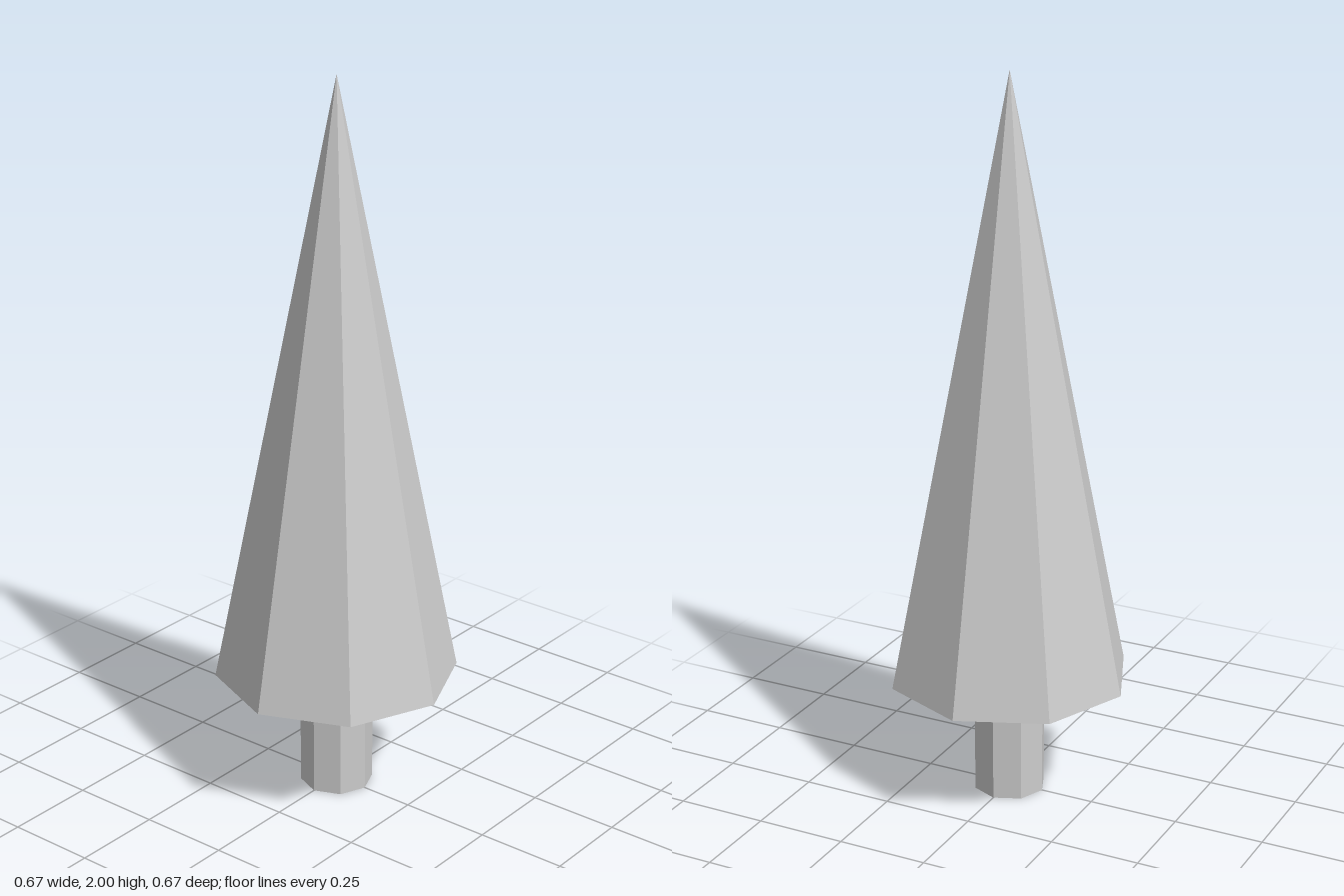
import * as THREE from 'three';

const SIDES = 8;

// Open-ended, flat-shaded octagonal shell standing between two heights
function shell(name, topRadius, bottomRadius, bottom, top) {
  const geometry = new THREE.CylinderGeometry(topRadius, bottomRadius, top - bottom, SIDES, 1, true);
  geometry.translate(0, (bottom + top) / 2, 0);
  const material = new THREE.MeshStandardMaterial({
    color: 0xcccccc, flatShading: true, side: THREE.DoubleSide,
  });
  const mesh = new THREE.Mesh(geometry, material);
  mesh.name = name;
  return mesh;
}

export function createModel() {
  const tree = new THREE.Group();
  tree.name = 'tree';

  // Trunk: hollow tube that runs up inside the foliage
  tree.add(shell('trunk', 0.1, 0.1, 0, 0.67));

  // Foliage: tall hollow cone, open underneath
  tree.add(shell('foliage', 0, 0.333, 0.337, 2));

  return tree;
}
